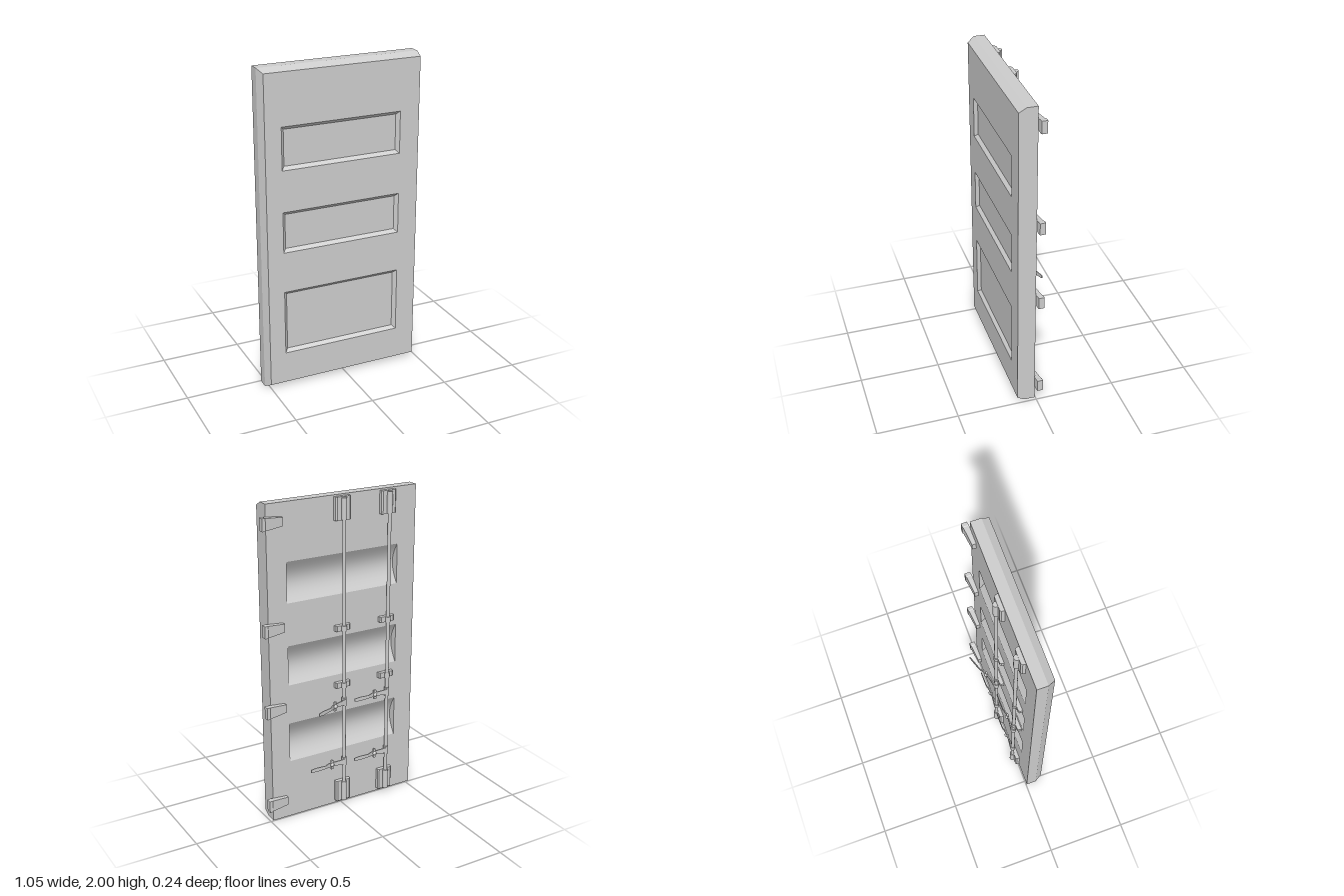
import * as THREE from 'three';

export function createModel() {
  const model = new THREE.Group();
  const steel = new THREE.MeshStandardMaterial({ color: 0xcccccc, side: THREE.DoubleSide });
  steel.name = 'grey steel';

  const add = (name, geometry, x = 0, y = 0, z = 0, parent = model) => {
    const mesh = new THREE.Mesh(geometry, steel);
    mesh.name = name;
    mesh.position.set(x, y, z);
    parent.add(mesh);
    return mesh;
  };

  // Rectangle as an anticlockwise loop seen from the front
  const rect = (x0, x1, y0, y1, z) => [[x0, y0, z], [x1, y0, z], [x1, y1, z], [x0, y1, z]];

  // Flat-shaded strips joining successive four-cornered loops
  const loft = (loops) => {
    const p = [];
    for (let k = 0; k < loops.length - 1; k++) {
      for (let i = 0; i < 4; i++) {
        const j = (i + 1) % 4;
        const a = loops[k][i], b = loops[k][j], c = loops[k + 1][j], d = loops[k + 1][i];
        p.push(...a, ...b, ...c, ...a, ...c, ...d);
      }
    }
    const g = new THREE.BufferGeometry();
    g.setAttribute('position', new THREE.Float32BufferAttribute(p, 3));
    g.computeVertexNormals();
    return g;
  };

  // Flat rectangle with rectangular openings
  const sheet = (outer, openings) => {
    const toPoints = (loop) => loop.map(([x, y]) => new THREE.Vector2(x, y));
    const shape = new THREE.Shape(toPoints(outer));
    openings.forEach((o) => shape.holes.push(new THREE.Path(toPoints(o))));
    return new THREE.ShapeGeometry(shape);
  };

  // Box shaped along x by sections of [x, inner z, outer z, half height]
  const shapedBox = (sections) => {
    const n = sections.length - 1;
    const box = new THREE.BoxGeometry(1, 1, 1, n, 1, 1);
    const pos = box.attributes.position;
    for (let i = 0; i < pos.count; i++) {
      const [x, inner, outer, half] = sections[Math.round((pos.getX(i) + 0.5) * n)];
      pos.setXYZ(i, x, Math.sign(pos.getY(i)) * half, pos.getZ(i) > 0 ? inner : outer);
    }
    const g = box.toNonIndexed();
    g.computeVertexNormals();
    return g;
  };

  // Door slab, bevelled at the front on three edges
  const L = -0.525, R = 0.48, BACK = 0.005, FRONT = 0.115;
  const px0 = -0.4, px1 = 0.355;
  const backLoop = rect(L, R, 0, 2, BACK);
  const frontLoop = rect(L + 0.025, R, 0.025, 1.975, FRONT);
  add('doorEdges', loft([backLoop, rect(L, R, 0, 2, 0.07), frontLoop]));

  // Front face with recessed panels
  const panels = [[1.4, 1.66], [0.89, 1.145], [0.225, 0.635]];
  const openings = panels.map(([a, b]) => rect(px0, px1, a, b, FRONT));
  add('doorFront', sheet(frontLoop, openings), 0, 0, FRONT);
  panels.forEach(([a, b], i) => {
    const s = 0.02, floor = rect(px0 + s, px1 - s, a + s, b - s, FRONT - s);
    add('panelBevel', loft([openings[i], floor]));
    add('panelFloor', sheet(floor, []), 0, 0, FRONT - s);
  });

  // Back face with shallow hollows
  const hollows = [[1.4, 1.65], [0.885, 1.135], [0.38, 0.635]];
  const DEPTH = 0.05, STEPS = 10;
  const backFace = sheet(backLoop, hollows.map(([a, b]) => rect(px0, px1, a, b, BACK)));
  const index = backFace.index.array;
  for (let i = 0; i < index.length; i += 3) [index[i], index[i + 1]] = [index[i + 1], index[i]];
  backFace.computeVertexNormals();
  add('doorBack', backFace, 0, 0, BACK);
  hollows.forEach(([a, b]) => {
    const h = b - a;
    const curve = (y) => DEPTH * Math.cos((Math.PI * y) / h);
    const trough = new THREE.PlaneGeometry(px1 - px0, h, 1, STEPS).rotateY(Math.PI);
    const pos = trough.attributes.position;
    for (let i = 0; i < pos.count; i++) pos.setZ(i, curve(pos.getY(i)));
    trough.computeVertexNormals();
    add('backHollow', trough, (px0 + px1) / 2, (a + b) / 2, BACK);
    const profile = [];
    for (let k = 0; k <= STEPS; k++) {
      const y = h * (k / STEPS - 0.5);
      profile.push(new THREE.Vector2(curve(y), y));
    }
    // The end walls face into the hollow
    [[px0, 1], [px1, -1]].forEach(([x, side]) => {
      const pts = profile.map((v) => new THREE.Vector2(-side * v.x, v.y));
      const end = new THREE.ShapeGeometry(new THREE.Shape(pts)).rotateY(side * Math.PI / 2);
      add('hollowEnd', end, x, (a + b) / 2, BACK);
    });
  });

  // Hinges along the model's left edge
  const hingeSections = [
    [0.385, 0.005, -0.018, 0.026],
    [0.495, 0.004, -0.03, 0.036],
    [0.5, 0.003, -0.034, 0.038],
    [0.521, 0, -0.034, 0.038],
  ];
  [1.893, 1.262, 0.75, 0.123].forEach((y) => add('hinge', shapedBox(hingeSections), 0, y));

  // Plate with chamfered sides, extruded upward
  const plate = (w, h) => {
    const pts = [[-w, -0.005], [w, -0.005], [w - 0.002, 0.012], [w - 0.01, 0.02], [0.01 - w, 0.02], [0.002 - w, 0.012]];
    const shape = new THREE.Shape(pts.map(([x, y]) => new THREE.Vector2(x, y)));
    return new THREE.ExtrudeGeometry(shape, { depth: h, bevelEnabled: false }).rotateX(-Math.PI / 2);
  };

  const ROD_Z = -0.026;
  const tube = (r, h) => new THREE.CylinderGeometry(r, r, h, 16);

  // Lever: thin bent strip, grip tip at the far end
  const leverSections = [
    [0, -0.009, -0.017, 0.02],
    [0.03, -0.007, -0.014, 0.016],
    [0.06, -0.002, -0.01, 0.013],
    [0.11, -0.002, -0.01, 0.013],
    [0.145, -0.016, -0.021, 0.01],
    [0.21, -0.017, -0.022, 0.013],
    [0.248, -0.017, -0.022, 0.009],
  ];
  const addHandle = (x, y, turn) => {
    const handle = new THREE.Group();
    handle.name = 'handle';
    handle.position.set(x, y, ROD_Z);
    handle.rotation.y = turn;
    model.add(handle);
    add('handleHub', tube(0.016, 0.055), 0, 0, 0, handle);
    add('lever', shapedBox(leverSections), 0, 0, 0, handle);
    add('catch', new THREE.BoxGeometry(0.016, 0.06, 0.012), 0.092, 0, -0.006, handle);
    add('knob', new THREE.SphereGeometry(0.013, 12, 8), 0.092, 0, -0.01, handle);
  };

  // Locking rods with end brackets, guides and handles
  [-0.01, -0.322].forEach((x, i) => {
    add('lockRod', tube(0.011, 1.94), x, 1, ROD_Z);
    [0.02, 1.85].forEach((y) => {
      add('endBracket', plate(0.052, 0.14), x, y);
      add('bracketSleeve', tube(0.017, 0.13), x, y + 0.07, ROD_Z);
    });
    [1.19, 0.82].forEach((y) => {
      add('rodGuide', plate(0.052, 0.035), x, y - 0.0175);
      add('guideStrap', tube(0.016, 0.035), x, y, ROD_Z);
    });
    addHandle(x, 0.71, i === 0 ? 0.32 : 0);
    addHandle(x, 0.3, 0);
  });

  return model;
}
